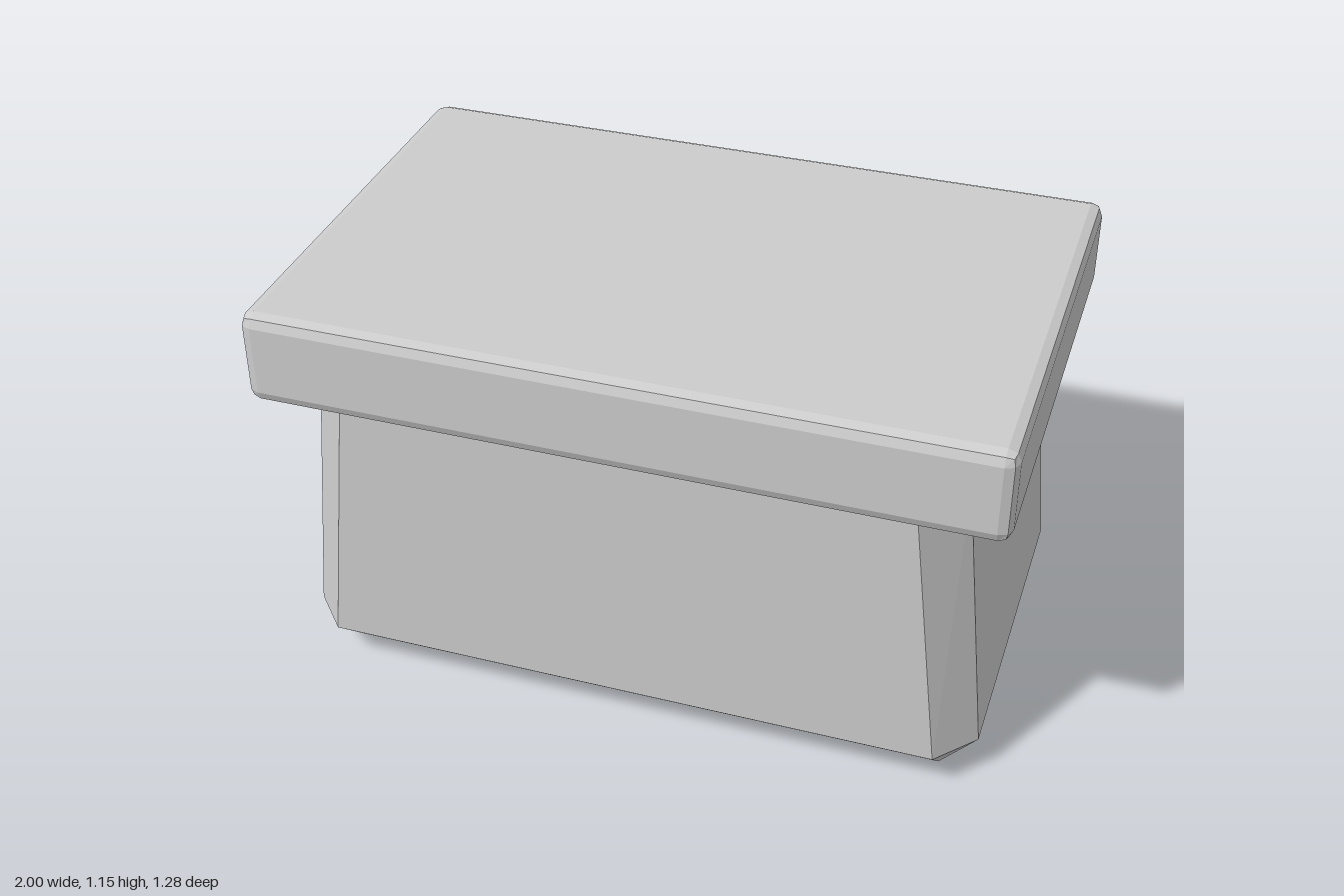
import * as THREE from 'three';
import { ConvexGeometry } from 'three/addons/geometries/ConvexGeometry.js';
import { RoundedBoxGeometry } from 'three/addons/geometries/RoundedBoxGeometry.js';

export function createModel() {
  const model = new THREE.Group();
  const material = new THREE.MeshStandardMaterial({ color: 0xcccccc, flatShading: true });

  // Tapered body: rectangular foot, then two chamfered rings up into the lid
  const corners = [
    [0.855, 0, 0.473],
    [0.955, 0.11, 0.473], [0.855, 0.11, 0.585],
    [0.873, 0.91, 0.473], [0.763, 0.91, 0.585],
  ];
  const points = [];
  for (const sx of [1, -1]) {
    for (const sz of [1, -1]) {
      for (const [x, y, z] of corners) points.push(new THREE.Vector3(sx * x, y, sz * z));
    }
  }
  const body = new THREE.Mesh(new ConvexGeometry(points), material);
  body.name = 'body';
  model.add(body);

  // Overhanging lid with a small two-step bevel on every edge
  const bottom = 0.89, top = 1.152;
  const lid = new THREE.Mesh(new RoundedBoxGeometry(2, top - bottom, 1.284, 1, 0.034), material);
  lid.name = 'lid';
  lid.position.y = (bottom + top) / 2;
  model.add(lid);

  return model;
}
